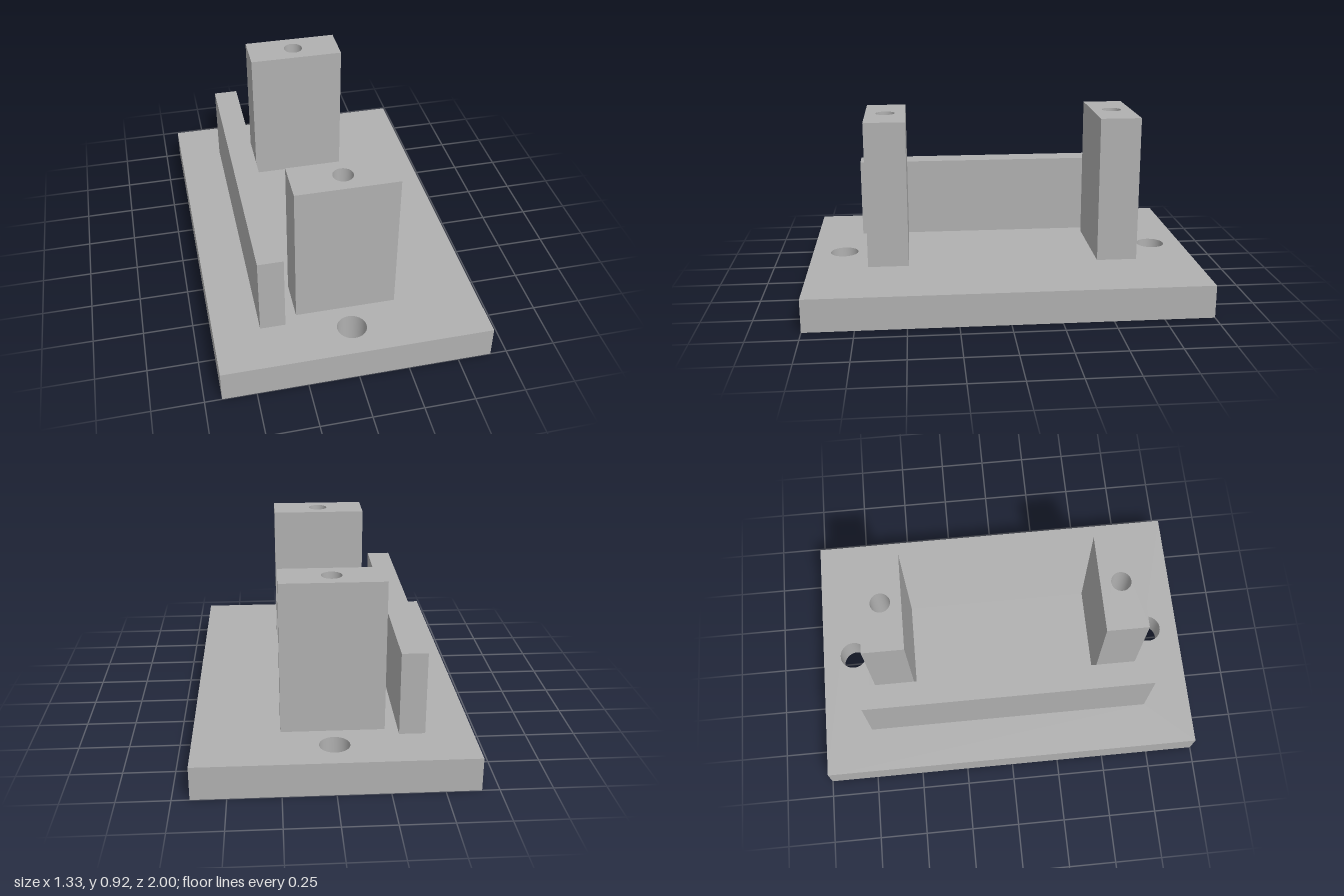
import * as THREE from 'three';

const plateTop = 0.167, pocketTop = 0.083, postTop = 0.917, railTop = 0.583;
const postZ = 0.594, mountZ = 0.833, railX = -0.375;
const boreR = 0.05, mountR = 0.073, hexR = 0.102;

// Outlines in the ground plane
function rect(x, z, w, d) {
  return new THREE.Shape([[-1, -1], [1, -1], [1, 1], [-1, 1]].map(([a, b]) =>
    new THREE.Vector2(x + a * w / 2, z + b * d / 2)));
}
function round(x, z, r, sides = 40) {
  return new THREE.Shape(Array.from({ length: sides }, (_, i) => {
    const t = i / sides * Math.PI * 2;
    return new THREE.Vector2(x + r * Math.cos(t), z + r * Math.sin(t));
  }));
}

export function createModel() {
  const model = new THREE.Group();
  model.name = 'mountingBracket';
  const grey = new THREE.MeshStandardMaterial({ color: 0xb0b0b0, side: THREE.DoubleSide });
  grey.name = 'grey';

  function add(parent, name, geometry, x = 0, y = 0, z = 0) {
    const mesh = new THREE.Mesh(geometry, grey);
    mesh.name = name;
    mesh.position.set(x, y, z);
    parent.add(mesh);
  }
  function part(name) {
    const group = new THREE.Group();
    group.name = name;
    model.add(group);
    return group;
  }
  // Horizontal face with cut-outs; outlines are symmetric front to back
  function face(outline, holes, up) {
    outline.holes.push(...holes);
    return new THREE.ShapeGeometry(outline).rotateX(up ? -Math.PI / 2 : Math.PI / 2);
  }
  // Four upright sides of a block, without its top and bottom
  function sides(w, h, d) {
    const g = new THREE.BoxGeometry(w, h, d);
    const index = Array.from(g.index.array);
    g.clearGroups();
    g.setIndex([...index.slice(0, 12), ...index.slice(24)]);
    return g;
  }
  // Inner wall of a hole
  function bore(r, h, n = 40) {
    const g = new THREE.CylinderGeometry(r, r, h, n, 1, true).rotateY(Math.PI / 2);
    if (n > 6) return g;
    const flat = g.toNonIndexed();
    flat.computeVertexNormals();
    return flat;
  }
  const both = (fn) => [1, -1].map(fn);

  // Base plate with mounting holes and hexagonal nut pockets underneath
  const base = part('basePlate');
  const mounts = () => both((s) => round(0, s * mountZ, mountR));
  add(base, 'plateSides', sides(1.334, plateTop, 2), 0, plateTop / 2, 0);
  add(base, 'plateTop', face(rect(0, 0, 1.334, 2), [
    ...mounts(),
    ...both((s) => rect(0, s * postZ, 0.5, 0.208)),
    rect(railX, 0, 0.125, 1.5),
  ], true), 0, plateTop, 0);
  add(base, 'plateUnderside', face(rect(0, 0, 1.334, 2), [
    ...mounts(),
    ...both((s) => round(0, s * postZ, hexR, 6)),
  ], false));

  for (const s of [1, -1]) {
    const end = s > 0 ? 'front' : 'back';
    add(base, end + 'MountingHole', bore(mountR, plateTop), 0, plateTop / 2, s * mountZ);
    add(base, end + 'NutPocket', bore(hexR, pocketTop, 6), 0, pocketTop / 2, s * postZ);
    add(base, end + 'NutPocketCeiling',
      face(round(0, 0, hexR, 6), [round(0, 0, boreR)], false), 0, pocketTop, s * postZ);

    // Upright post with a bolt hole running down to the nut pocket
    const post = part(end + 'Post');
    const h = postTop - plateTop, deep = postTop - pocketTop;
    add(post, end + 'PostSides', sides(0.5, h, 0.208), 0, plateTop + h / 2, s * postZ);
    add(post, end + 'PostTop',
      face(rect(0, 0, 0.5, 0.208), [round(0, 0, boreR)], true), 0, postTop, s * postZ);
    add(post, end + 'BoltHole', bore(boreR, deep), 0, pocketTop + deep / 2, s * postZ);
  }

  // Long side rail
  const rail = part('sideRail');
  const rh = railTop - plateTop;
  add(rail, 'railSides', sides(0.125, rh, 1.5), railX, plateTop + rh / 2, 0);
  add(rail, 'railTop', face(rect(0, 0, 0.125, 1.5), [], true), railX, railTop, 0);

  return model;
}
